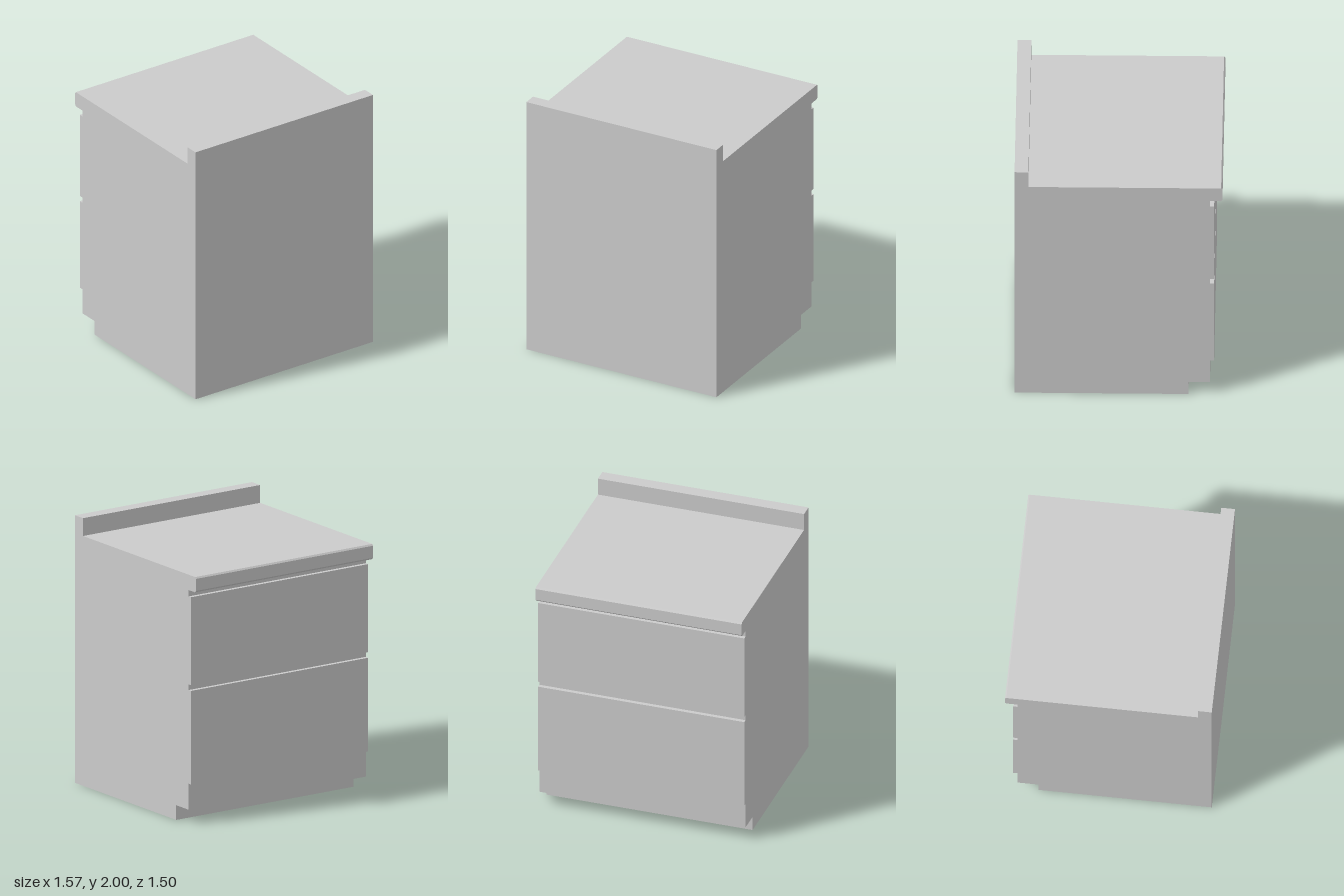
import * as THREE from 'three';

const HALF_WIDTH = 0.785;

// Outline of the cabinet as [z, y] runs, one per part, from the panel foot over the top to the plinth
const RUNS = {
  frontPanel: [[0.75, 0], [0.75, 2]],
  upstand: [[0.75, 2], [0.65, 2], [0.65, 1.867]],
  worktop: [[0.65, 1.867], [-0.74, 1.867], [-0.75, 1.855], [-0.75, 1.765], [-0.737, 1.752], [-0.66, 1.752]],
  upperGripRecess: [[-0.66, 1.752], [-0.66, 1.705]],
  upperDrawer: [[-0.66, 1.705], [-0.69, 1.705], [-0.69, 1.047], [-0.66, 1.047]],
  middleGripRecess: [[-0.66, 1.047], [-0.66, 1.005]],
  lowerDrawer: [[-0.66, 1.005], [-0.69, 1.005], [-0.69, 0.305], [-0.66, 0.305]],
  lowerRail: [[-0.66, 0.305], [-0.66, 0.11]],
  plinth: [[-0.66, 0.11], [-0.505, 0.11], [-0.505, 0]],
};

// Sweeps a run across the full width as flat facets
function sweepRun(run) {
  const w = HALF_WIDTH;
  const positions = [];
  for (let i = 0; i < run.length - 1; i++) {
    const [za, ya] = run[i];
    const [zb, yb] = run[i + 1];
    positions.push(-w, ya, za, w, ya, za, w, yb, zb);
    positions.push(-w, ya, za, w, yb, zb, -w, yb, zb);
  }
  const geometry = new THREE.BufferGeometry();
  geometry.setAttribute('position', new THREE.Float32BufferAttribute(positions, 3));
  geometry.computeVertexNormals();
  return geometry;
}

// Side panel cut to the outline; side is +1 for left, -1 for right
function sidePanel(side) {
  const points = Object.values(RUNS).flatMap((run, i) => (i ? run.slice(1) : run));
  const shape = new THREE.Shape(points.map(([z, y]) => new THREE.Vector2(-side * z, y)));
  return new THREE.ShapeGeometry(shape)
    .rotateY((side * Math.PI) / 2)
    .translate(side * HALF_WIDTH, 0, 0);
}

export function createModel() {
  const group = new THREE.Group();
  group.name = 'drawerCabinet';
  // The shell is thin and open underneath
  const material = new THREE.MeshStandardMaterial({ color: 0xcccccc, side: THREE.DoubleSide });

  const add = (name, geometry) => {
    const mesh = new THREE.Mesh(geometry, material);
    mesh.name = name;
    group.add(mesh);
  };

  for (const [name, run] of Object.entries(RUNS)) add(name, sweepRun(run));
  add('leftSide', sidePanel(1));
  add('rightSide', sidePanel(-1));
  return group;
}
